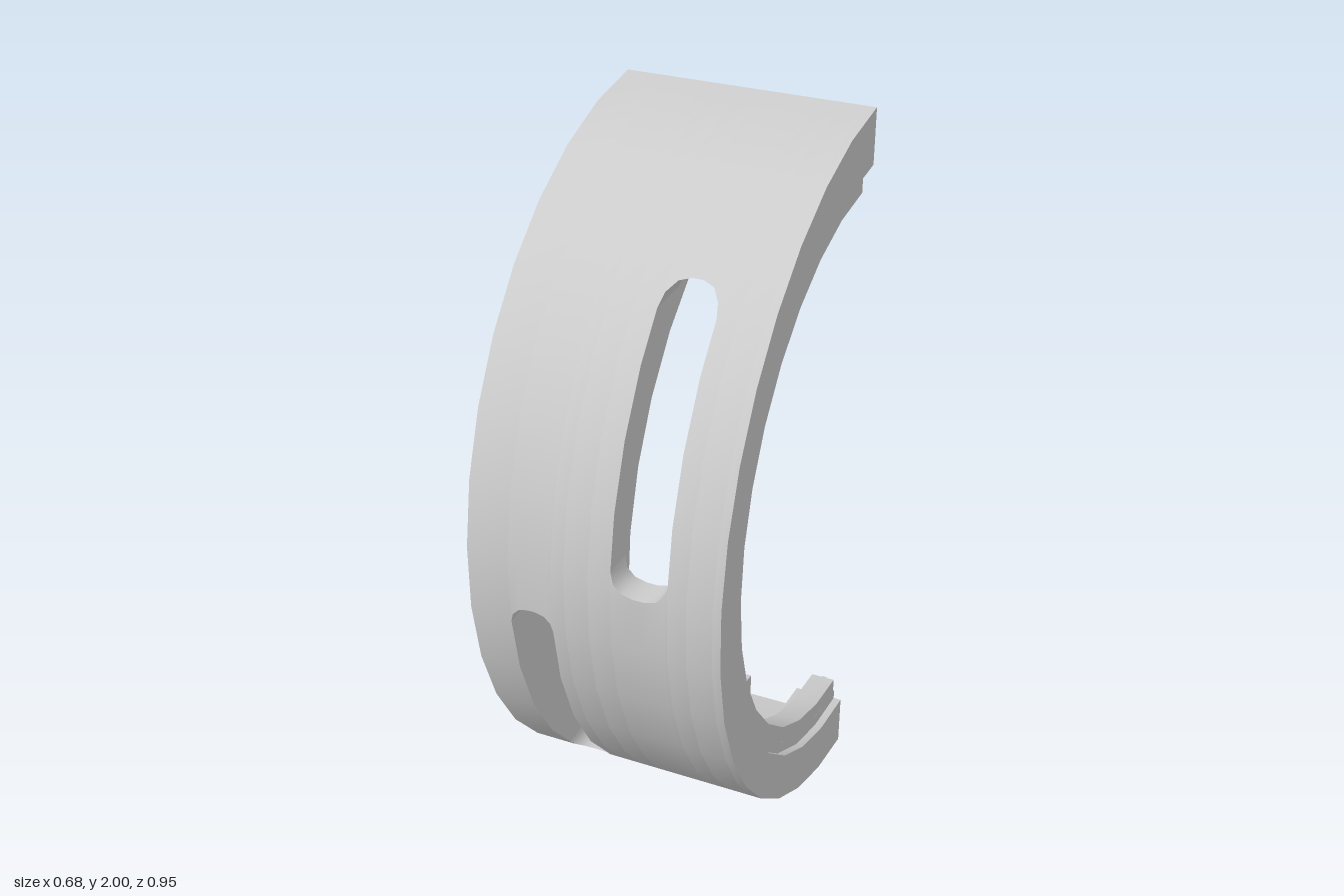
import * as THREE from 'three';
import { toCreasedNormals } from 'three/addons/utils/BufferGeometryUtils.js';

const CUT = -0.475;               // plane of the two cut ends
const BORE = -0.475, RIM = -0.52; // arc centres (z) of the bore and of the outer rim

// Polyline arc [z, y] from the lower cut end round the front to the upper one
function arc(r, centre, n, start = CUT) {
  const a0 = Math.asin((start - centre) / r);
  return Array.from({ length: n + 1 }, (_, i) => {
    const a = Math.PI - a0 - (i / n) * (Math.PI - 2 * a0);
    return [centre + r * Math.sin(a), 1 + r * Math.cos(a)];
  });
}

// Limit an arc to lo <= y <= hi, sliding cut-off points along the polyline
function clip(points, lo, hi) {
  const at = y => {
    const i = Math.max(1, points.findIndex(p => p[1] >= y));
    const [a, b] = [points[i - 1], points[i]];
    return [a[0] + (b[0] - a[0]) * (y - a[1]) / (b[1] - a[1]), y];
  };
  return points.map(p => (p[1] < lo ? at(lo) : p[1] > hi ? at(hi) : p));
}

const band = (outer, inner, lo = -1, hi = 3) =>
  [...clip(outer, lo, hi), ...clip(inner, lo, hi).reverse()];

// Solid through sections { x, loop } with closed ends
function loft(sections) {
  const pos = [];
  const a = new THREE.Vector3(), b = new THREE.Vector3(), c = new THREE.Vector3();
  const tri = (...t) => {
    a.set(...t[0]); b.set(...t[1]).sub(a); c.set(...t[2]).sub(a);
    if (b.cross(c).length() > 1e-9) pos.push(...t.flat());
  };
  const rings = sections.map(s => s.loop.map(([z, y]) => [s.x, y, z]));
  for (let s = 0; s < rings.length - 1; s++) {
    const p = rings[s], q = rings[s + 1];
    p.forEach((_, i) => {
      const j = (i + 1) % p.length;
      tri(p[i], q[j], p[j]);
      tri(p[i], q[i], q[j]);
    });
  }
  for (const last of [false, true]) {
    const k = last ? rings.length - 1 : 0;
    const flat = sections[k].loop.map(([z, y]) => new THREE.Vector2(z, y));
    for (const [i, j, m] of THREE.ShapeUtils.triangulateShape(flat, []))
      last ? tri(rings[k][i], rings[k][m], rings[k][j]) : tri(rings[k][i], rings[k][j], rings[k][m]);
  }
  const g = new THREE.BufferGeometry();
  g.setAttribute('position', new THREE.Float32BufferAttribute(pos, 3));
  return toCreasedNormals(g, 0.6);
}

export function createModel() {
  const group = new THREE.Group();
  const material = new THREE.MeshStandardMaterial({ color: 0xcccccc });
  const add = (name, geometry) => {
    const mesh = new THREE.Mesh(geometry, material);
    mesh.name = name;
    group.add(mesh);
  };
  const outer = arc(1.001, RIM, 17);
  const solid = (name, x0, x1, loop) => add(name, loft([{ x: x0, loop }, { x: x1, loop }]));

  // Plain bands of the half ring: [name, x0, x1, inner radius]
  const bands = [
    ['sideWall', -0.34, -0.227, 0.775],
    ['innerLand', -0.11, -0.075, 0.85],
    ['middleRibBase', -0.075, -0.01, 0.82],
    ['middleLand', -0.01, 0.05, 0.85],
    ['outerLand', 0.2, 0.25, 0.85],
    ['edgeRibBase', 0.25, 0.318, 0.82],
    ['edgeLand', 0.318, 0.34, 0.85],
  ];
  for (const [name, x0, x1, r] of bands) solid(name, x0, x1, band(outer, arc(r, BORE, 16)));

  // Grooves, each pierced by a long slot with rounded ends
  const floor = arc(0.92, RIM, 17);
  const slots = [
    ['narrowGroove', -0.227, -0.11, 0.25, 0.945],
    ['wideGroove', 0.05, 0.2, 1.06, 1.755],
  ];
  for (const [name, x0, x1, y0, y1] of slots) {
    const w = x1 - x0, r = w * 0.4;
    const corner = [0, 1, 2, 3].map(i => i * Math.PI / 6)
      .map(t => [r * (1 - Math.cos(t)), r * (1 - Math.sin(t))]);
    const ends = [
      ...corner.map(([d, h]) => [x0 + d, h]),
      ...corner.map(([d, h]) => [x1 - d, h]).reverse(),
    ];
    add(name + 'Lower', loft(ends.map(([x, h]) => ({ x, loop: band(outer, floor, -1, y0 + h) }))));
    add(name + 'Upper', loft(ends.map(([x, h]) => ({ x, loop: band(outer, floor, y1 - h, 3) }))));
  }

  // Rib tips, set back slightly at the cut, each holding a round cord
  for (const [name, x0, x1] of [['middleRib', -0.075, -0.01], ['edgeRib', 0.25, 0.318]]) {
    const tip = band(arc(0.82, BORE, 16, CUT + 0.01), arc(0.775, BORE, 16, CUT + 0.01));
    solid(name + 'Tip', x0, x1, tip);
    const x = (x0 + x1) / 2;
    const cord = new THREE.TorusGeometry(0.797, 0.018, 10, 16, Math.PI);
    cord.rotateZ(-Math.PI / 2).rotateY(-Math.PI / 2).translate(x, 1, BORE);
    add(name + 'Cord', cord);
    for (const side of [-1, 1]) {
      const cap = new THREE.CircleGeometry(0.018, 10);
      cap.rotateY(Math.PI).translate(x, 1 + side * 0.797, BORE);
      add(name + 'CordEnd', cap);
    }
  }
  return group;
}
